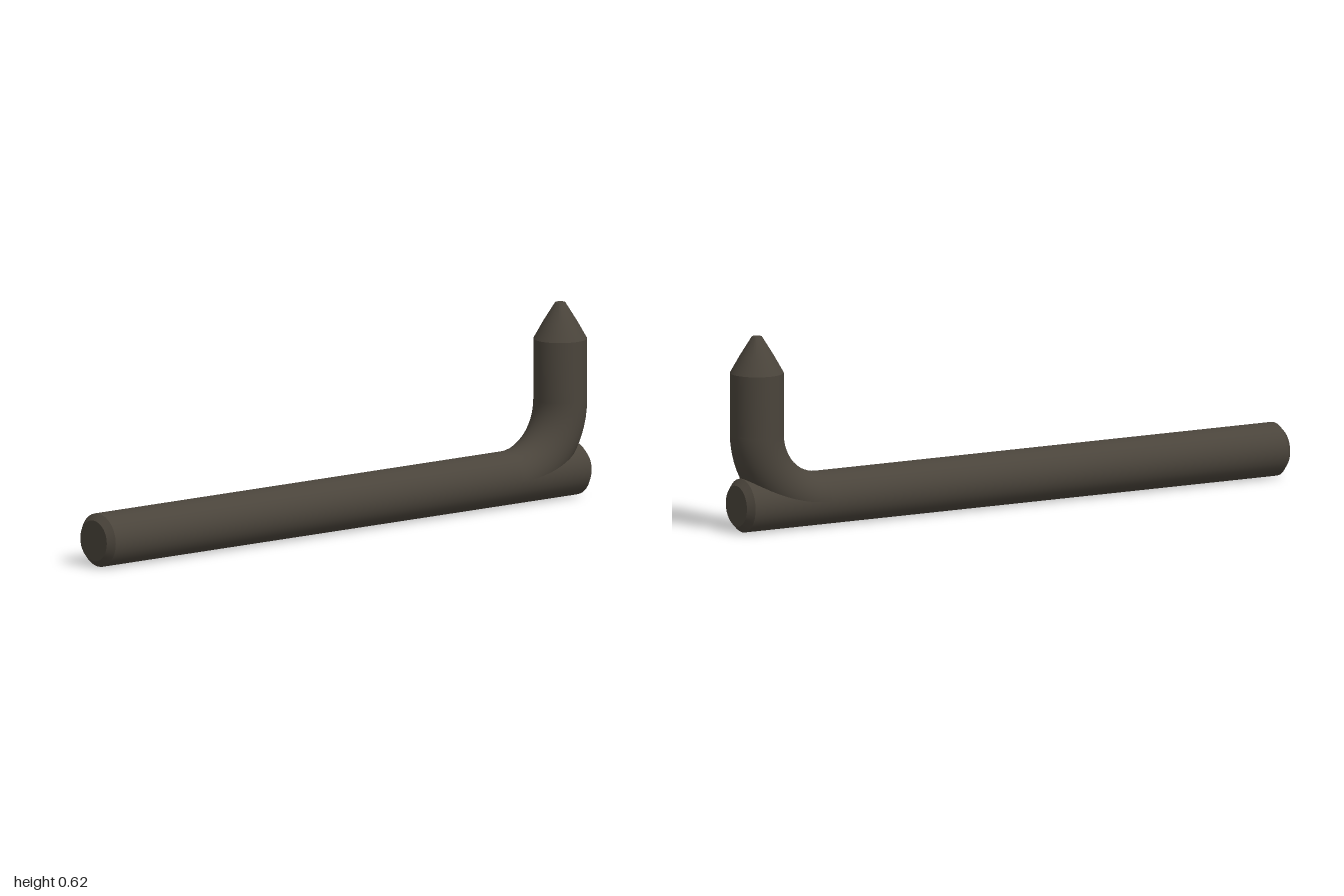
import * as THREE from 'three';
import { toCreasedNormals } from 'three/addons/utils/BufferGeometryUtils.js';

const RADIUS = 0.085;
const SIDES = 32;
const BEND = 0.225; // centreline radius of the bend

// Solid of revolution about y from [radius, height] pairs, with sharp edges kept
function turned(points) {
  const profile = points.map(([r, y]) => new THREE.Vector2(r, y));
  return toCreasedNormals(new THREE.LatheGeometry(profile, SIDES), 0.4);
}

export function createModel() {
  const model = new THREE.Group();
  model.name = 'hookedPin';

  const darkSteel = new THREE.MeshStandardMaterial({ color: 0x4a443b });
  darkSteel.name = 'darkSteel';

  const add = (name, geometry, x, y) => {
    const mesh = new THREE.Mesh(geometry, darkSteel);
    mesh.name = name;
    mesh.position.set(x, y, 0);
    model.add(mesh);
  };

  // Long horizontal bar with chamfered ends
  const bar = turned([
    [0, -1], [0.065, -1], [RADIUS, -0.98],
    [RADIUS, 0.97], [0.065, 0.99], [0, 0.99],
  ]);
  bar.rotateZ(-Math.PI / 2);
  add('bar', bar, 0, RADIUS);

  // Quarter bend rising out of the bar
  const bend = new THREE.TorusGeometry(BEND, RADIUS, SIDES, 16, Math.PI / 2);
  bend.rotateZ(-Math.PI / 2);
  add('bend', bend, 0.69, RADIUS + BEND);

  // Upright shank with its blunt, slightly bulging point
  const shank = turned([
    [RADIUS, 0], [RADIUS, 0.195], [0.054, 0.25], [0.016, 0.311], [0, 0.311],
  ]);
  add('uprightPoint', shank, 0.69 + BEND, RADIUS + BEND);

  return model;
}
